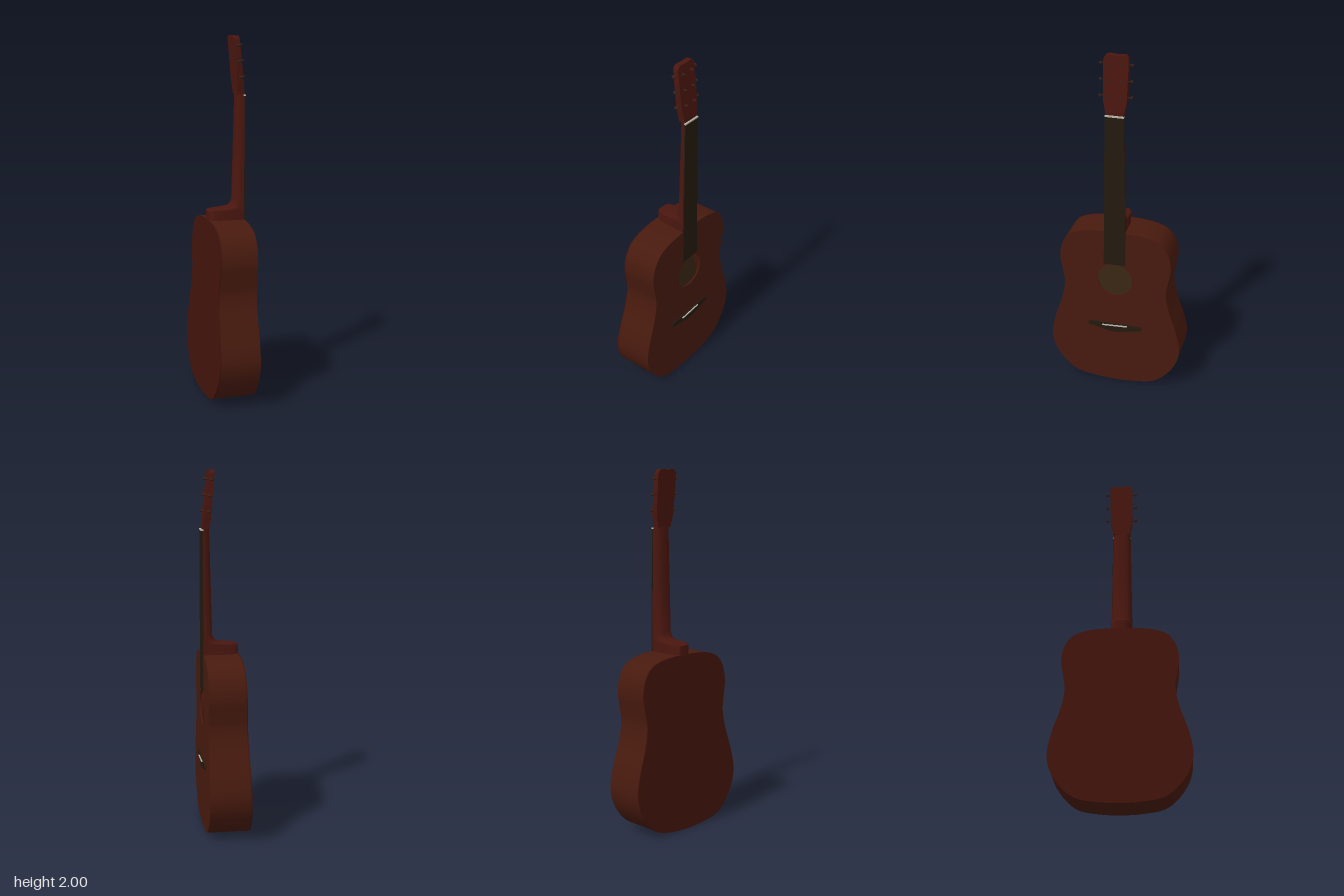
import * as THREE from 'three';
import { toCreasedNormals } from 'three/addons/utils/BufferGeometryUtils.js';

const mat = (color) => new THREE.MeshStandardMaterial({ color });
const WOOD = mat(0x481a0e), BACK = mat(0x42130b), NECK = mat(0x4a160f), EBONY = mat(0x241a0f);
const INSIDE = mat(0x3a2814), BONE = mat(0xb8b4a8), METAL = mat(0x3a2016);
const FRONT = 0.11;

const backZ = (y) => -0.127 + 0.036 * y; // body gets shallower towards the neck
const v2 = (list) => list.map(([x, y]) => new THREE.Vector2(x, y));
const mirrored = (half) => [...half, ...half.filter(([x]) => x > 0).reverse().map(([x, y]) => [-x, y])];
const shapeOf = (half) => new THREE.Shape(v2(mirrored(half)));

function mesh(name, geometry, material) {
  const m = new THREE.Mesh(geometry, material);
  m.name = name;
  return m;
}

// Extrudes a shape between two depths that may vary with height
function slab(name, shape, back, front, material) {
  const geo = new THREE.ExtrudeGeometry(shape, { depth: 1, bevelEnabled: false, curveSegments: 24 });
  const p = geo.attributes.position;
  for (let i = 0; i < p.count; i++) {
    const y = p.getY(i);
    p.setZ(i, THREE.MathUtils.lerp(back(y), front(y), p.getZ(i)));
  }
  return mesh(name, toCreasedNormals(geo, 0.6), material);
}

// Body outline, right half from bottom to top
const OUTLINE = [[0, 0], [0.12, 0.007], [0.23, 0.03], [0.3, 0.085], [0.36, 0.175], [0.38, 0.27], [0.358, 0.39],
  [0.322, 0.5], [0.3, 0.59], [0.296, 0.65], [0.307, 0.72], [0.319, 0.8], [0.305, 0.885], [0.26, 0.95],
  [0.18, 0.982], [0.09, 0.993], [0, 0.995]];

function outlinePoints(scale = 1) {
  const curve = new THREE.CatmullRomCurve3(mirrored(OUTLINE).map(([x, y]) => new THREE.Vector3(x, y, 0)), true);
  return curve.getPoints(128).slice(0, -1)
    .map((p) => new THREE.Vector2(p.x * scale, 0.5 + (p.y - 0.5) * scale));
}

function makeBody() {
  const body = new THREE.Group();
  body.name = 'body';
  const top = new THREE.Shape(outlinePoints());
  top.holes.push(new THREE.Path().absarc(0, 0.69, 0.1, 0, Math.PI * 2, true));
  const rim = new THREE.Shape(outlinePoints());
  rim.holes.push(new THREE.Path(outlinePoints(0.975)));
  const plate = new THREE.Shape(outlinePoints());
  const lining = new THREE.Shape(outlinePoints(0.97));
  body.add(
    slab('soundboard', top, () => FRONT - 0.008, () => FRONT, WOOD),
    slab('sides', rim, (y) => backZ(y) + 0.006, () => FRONT - 0.008, WOOD),
    slab('backPlate', plate, backZ, (y) => backZ(y) + 0.006, BACK),
    slab('innerLining', lining, (y) => backZ(y) + 0.005, (y) => backZ(y) + 0.009, INSIDE),
  );
  return body;
}

// Neck with heel: D-shaped sections [height, half width, back depth, roundness]
function makeNeck() {
  const rows = [[0.95, 0.058, -0.088, 0.5], [1.045, 0.058, -0.09, 0.5], [1.051, 0.058, -0.084, 0.5],
    [1.057, 0.058, -0.02, 0.55], [1.063, 0.058, 0.025, 0.6], [1.073, 0.058, 0.042, 0.65],
    [1.1, 0.057, 0.054, 0.75], [1.4, 0.054, 0.062, 0.75], [1.7, 0.05, 0.07, 0.75]];
  const n = 20, pos = [], index = [];
  rows.forEach(([y, w, back, e]) => {
    for (let i = 0; i <= n; i++) {
      const a = (Math.PI * i) / n, c = Math.cos(a), s = Math.max(0, Math.sin(a));
      pos.push(w * Math.sign(c) * Math.abs(c) ** e, y, 0.109 - (0.109 - back) * s ** e);
    }
  });
  const m = n + 1;
  for (let j = 0; j < rows.length - 1; j++) {
    for (let i = 0; i < m; i++) {
      const a = j * m + i, b = j * m + ((i + 1) % m);
      index.push(a, b, a + m, b, b + m, a + m);
    }
  }
  const geo = new THREE.BufferGeometry();
  geo.setAttribute('position', new THREE.Float32BufferAttribute(pos, 3));
  geo.setIndex(index);
  return mesh('neck', toCreasedNormals(geo, 0.7), NECK);
}

const headFront = (y) => 0.109 - (y - 1.69) * 0.11;
const headBack = (y) => 0.07 - (y - 1.69) * 0.081;

function makeHeadstock() {
  const s = shapeOf([[0, 1.685], [0.05, 1.685], [0.051, 1.705], [0.058, 1.735], [0.063, 1.76],
    [0.067, 1.97], [0.064, 1.984], [0.057, 1.994], [0.047, 1.999], [0.03, 2], [0, 1.997]]);
  return slab('headstock', s, headBack, headFront, NECK);
}

function makeTuner(side, y) {
  const tuner = new THREE.Group();
  tuner.name = 'tuner';
  const mid = (headFront(y) + headBack(y)) / 2;
  const post = mesh('stringPost', new THREE.CylinderGeometry(0.005, 0.005, 0.03, 12), METAL);
  post.rotation.x = Math.PI / 2 - 0.11;
  post.position.set(side * 0.033, y, headFront(y) + 0.004);
  const washer = mesh('washer', new THREE.CylinderGeometry(0.008, 0.008, 0.004, 16), METAL);
  washer.rotation.x = post.rotation.x;
  washer.position.set(side * 0.033, y, headFront(y) + 0.001);
  const shaft = mesh('shaft', new THREE.CylinderGeometry(0.003, 0.003, 0.025, 10), METAL);
  shaft.rotation.z = Math.PI / 2;
  shaft.position.set(side * 0.072, y, mid);
  const button = mesh('button', new THREE.SphereGeometry(1, 14, 10), METAL);
  button.scale.set(0.006, 0.009, 0.013);
  button.position.set(side * 0.085, y, mid);
  tuner.add(post, washer, shaft, button);
  return tuner;
}

export function createModel() {
  const guitar = new THREE.Group();
  guitar.name = 'guitar';
  guitar.add(makeBody(), makeNeck(), makeHeadstock());

  // Fingerboard and nut
  const board = shapeOf([[0, 0.79], [0.063, 0.79], [0.052, 1.676], [0, 1.676]]);
  guitar.add(slab('fingerboard', board, () => 0.108, () => 0.115, EBONY));
  const nut = mesh('nut', new THREE.BoxGeometry(0.104, 0.008, 0.014), BONE);
  nut.position.set(0, 1.68, 0.111);
  guitar.add(nut);

  // Bridge with slanted saddle
  const bridge = shapeOf([[0, 0.343], [0.04, 0.346], [0.09, 0.359], [0.15, 0.37], [0.157, 0.376],
    [0.157, 0.392], [0.15, 0.396], [0, 0.396]]);
  guitar.add(slab('bridge', bridge, () => FRONT - 0.002, (y) => FRONT + 0.008, EBONY));
  const saddle = mesh('saddle', new THREE.BoxGeometry(0.145, 0.006, 0.012), BONE);
  saddle.position.set(0, 0.387, FRONT + 0.008);
  saddle.rotation.z = 0.05;
  guitar.add(saddle);

  for (const side of [-1, 1]) for (const y of [1.78, 1.865, 1.95]) guitar.add(makeTuner(side, y));

  // The soundboard looks towards +x
  guitar.rotation.y = Math.PI / 2;
  const model = new THREE.Group();
  model.name = 'acousticGuitar';
  model.add(guitar);
  return model;
}
